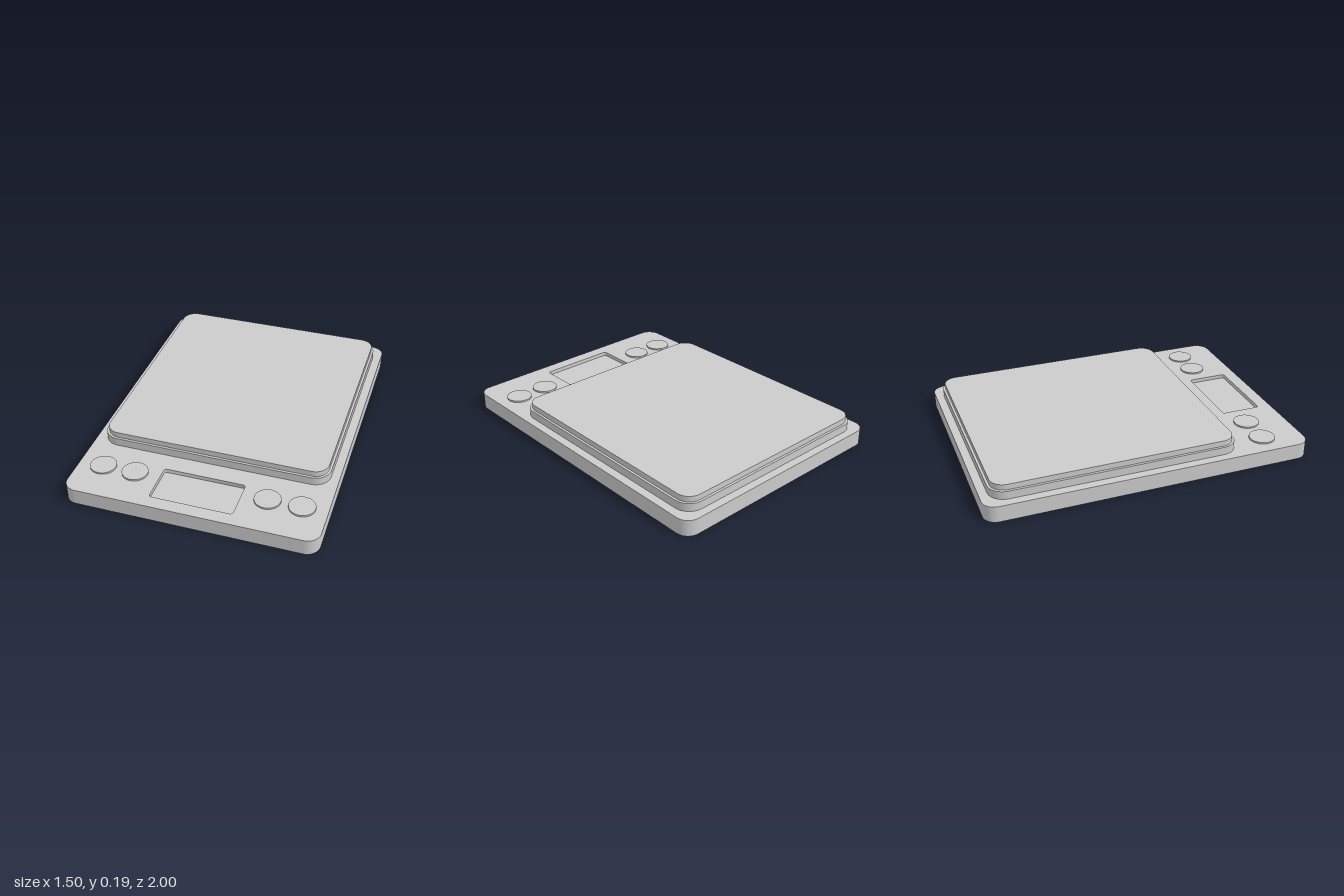
import * as THREE from 'three';
import { toCreasedNormals } from 'three/addons/utils/BufferGeometryUtils.js';

const material = new THREE.MeshStandardMaterial({ color: 0xcccccc });

// Rounded rectangle centred on (x, z) in plan; plan z maps to shape -y
function roundedRect(w, d, r, z = 0, Type = THREE.Shape) {
  const s = new Type();
  const x0 = -w / 2, x1 = w / 2, y0 = -z - d / 2, y1 = -z + d / 2;
  s.moveTo(x0 + r, y0);
  s.lineTo(x1 - r, y0);
  s.absarc(x1 - r, y0 + r, r, -Math.PI / 2, 0);
  s.lineTo(x1, y1 - r);
  s.absarc(x1 - r, y1 - r, r, 0, Math.PI / 2);
  s.lineTo(x0 + r, y1);
  s.absarc(x0 + r, y1 - r, r, Math.PI / 2, Math.PI);
  s.lineTo(x0, y0 + r);
  s.absarc(x0 + r, y0 + r, r, Math.PI, Math.PI * 1.5);
  return s;
}

// Upright slab from a plan shape, with smooth corners and sharp rims
function slab(name, shape, bottom, top) {
  const geometry = new THREE.ExtrudeGeometry(shape, { depth: top - bottom, bevelEnabled: false, curveSegments: 12 });
  geometry.rotateX(-Math.PI / 2);
  geometry.translate(0, bottom, 0);
  const mesh = new THREE.Mesh(toCreasedNormals(geometry, Math.PI / 6), material);
  mesh.name = name;
  return mesh;
}

export function createModel() {
  const model = new THREE.Group();
  model.name = 'kitchenScale';

  // Body with an opening for the display, closed by a sunken floor
  const display = [0.495, 0.25, 0.017, 0.795];
  const bodyShape = roundedRect(1.5, 2, 0.08);
  bodyShape.holes.push(roundedRect(...display, THREE.Path));
  model.add(slab('body', bodyShape, 0, 0.1));
  model.add(slab('displayScreen', roundedRect(...display), 0, 0.075));

  // Stepped weighing platform
  model.add(slab('platformBase', roundedRect(1.395, 1.5, 0.1, -0.2), 0.1, 0.15));
  model.add(slab('weighingPlate', roundedRect(1.365, 1.47, 0.085, -0.2), 0.15, 0.185));

  // Two round buttons on each side of the display
  for (const x of [-0.6, -0.4, 0.4, 0.6]) {
    const button = new THREE.Mesh(new THREE.CylinderGeometry(0.078, 0.078, 0.01, 48), material);
    button.name = 'button';
    button.position.set(x, 0.105, 0.75);
    model.add(button);
  }
  return model;
}
